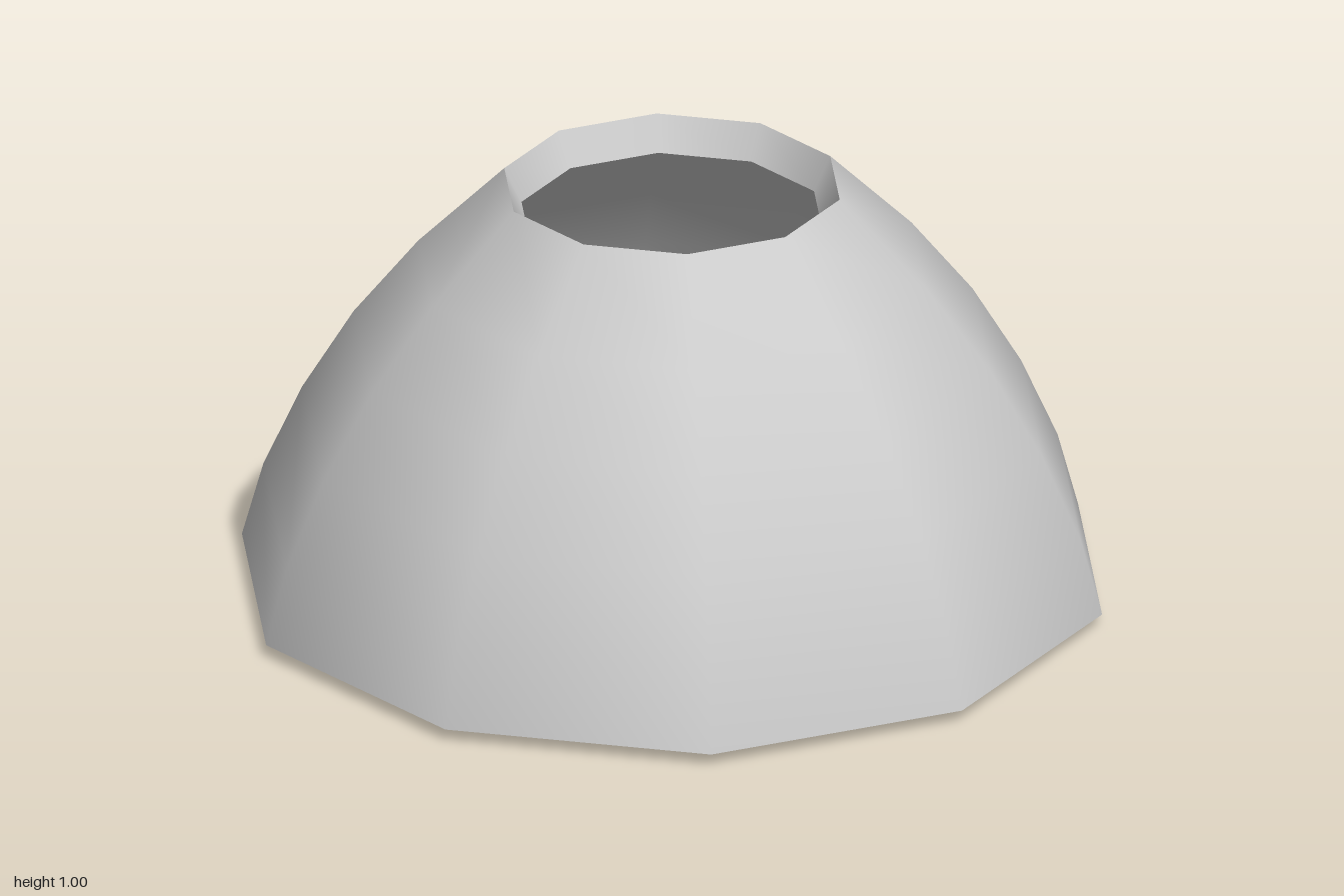
import * as THREE from 'three';

const SIDES = 10;

// Outer and inner wall profiles as [radius, height], bottom to top
const outer = [[1, 0.03], [0.95, 0.21], [0.86, 0.41], [0.74, 0.61], [0.59, 0.8], [0.39, 1]];
const inner = [[0.91, 0], [0.865, 0.18], [0.78, 0.37], [0.67, 0.555], [0.53, 0.735], [0.35, 0.92]];

export function createModel() {
  const group = new THREE.Group();
  group.name = 'lampshade';
  const material = new THREE.MeshStandardMaterial({ color: 0xcccccc, side: THREE.DoubleSide });

  // Ten-sided turned surface with a corner on the x axis
  const turn = (name, profile) => {
    const points = profile.map(([r, y]) => new THREE.Vector2(r, y));
    const mesh = new THREE.Mesh(new THREE.LatheGeometry(points, SIDES, Math.PI / 2), material);
    mesh.name = name;
    group.add(mesh);
  };

  // Smooth walls, joined by crisp sloping rims
  turn('outerWall', outer);
  turn('topRim', [outer[5], inner[5]]);
  turn('innerWall', [...inner].reverse());
  turn('bottomRim', [inner[0], outer[0]]);

  return group;
}
